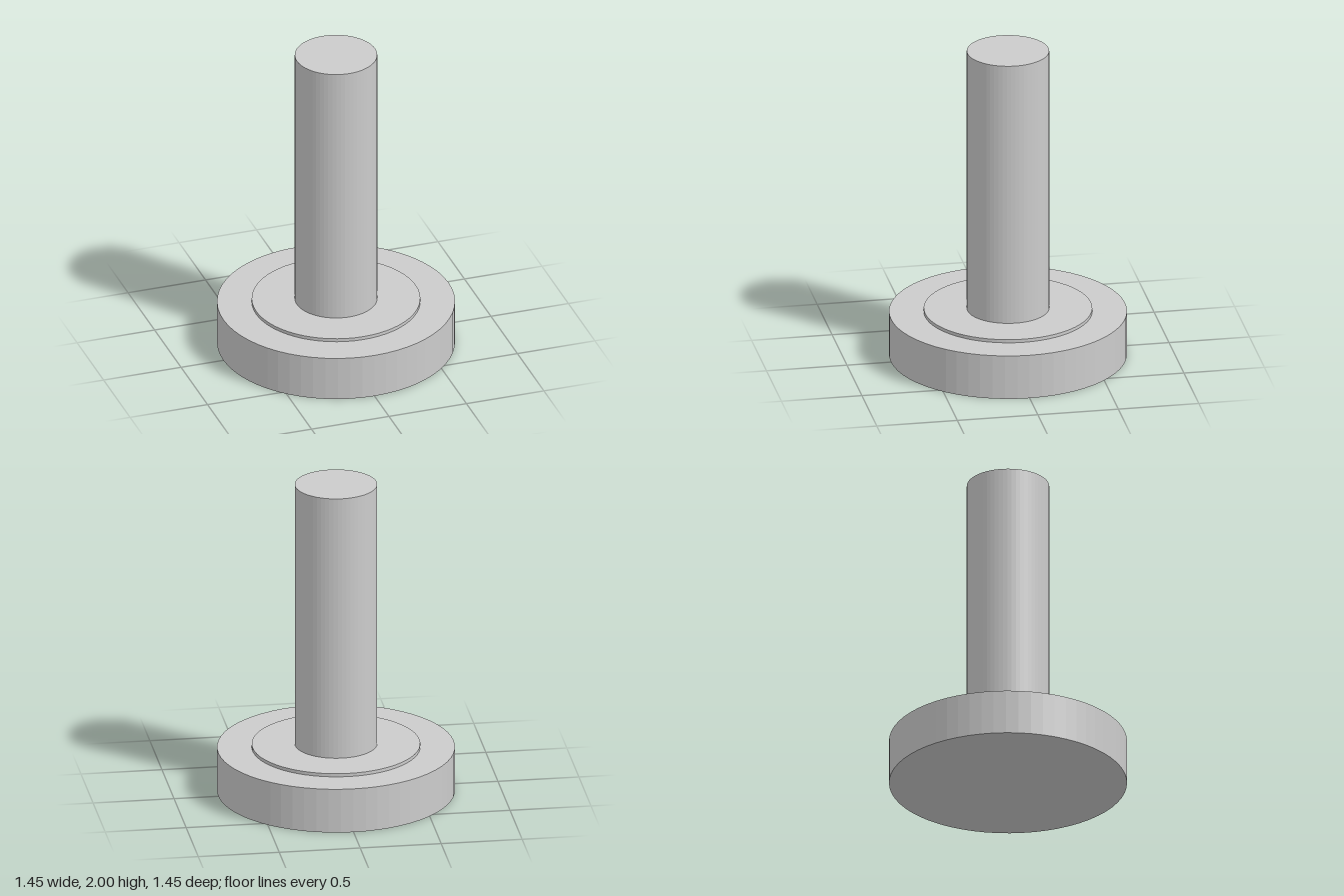
import * as THREE from 'three';

const SIDES = 60;

export function createModel() {
  const model = new THREE.Group();
  model.name = 'flangedPost';
  const material = new THREE.MeshStandardMaterial({ color: 0xcccccc, flatShading: true });

  // Upright cylinder spanning two heights
  function addCylinder(name, radius, bottom, top) {
    const mesh = new THREE.Mesh(
      new THREE.CylinderGeometry(radius, radius, top - bottom, SIDES), material);
    mesh.name = name;
    mesh.position.y = (bottom + top) / 2;
    model.add(mesh);
  }

  addCylinder('baseDisc', 0.727, 0, 0.283);
  addCylinder('collar', 0.515, 0.283, 0.304);
  addCylinder('shaft', 0.252, 0.304, 2);
  return model;
}
